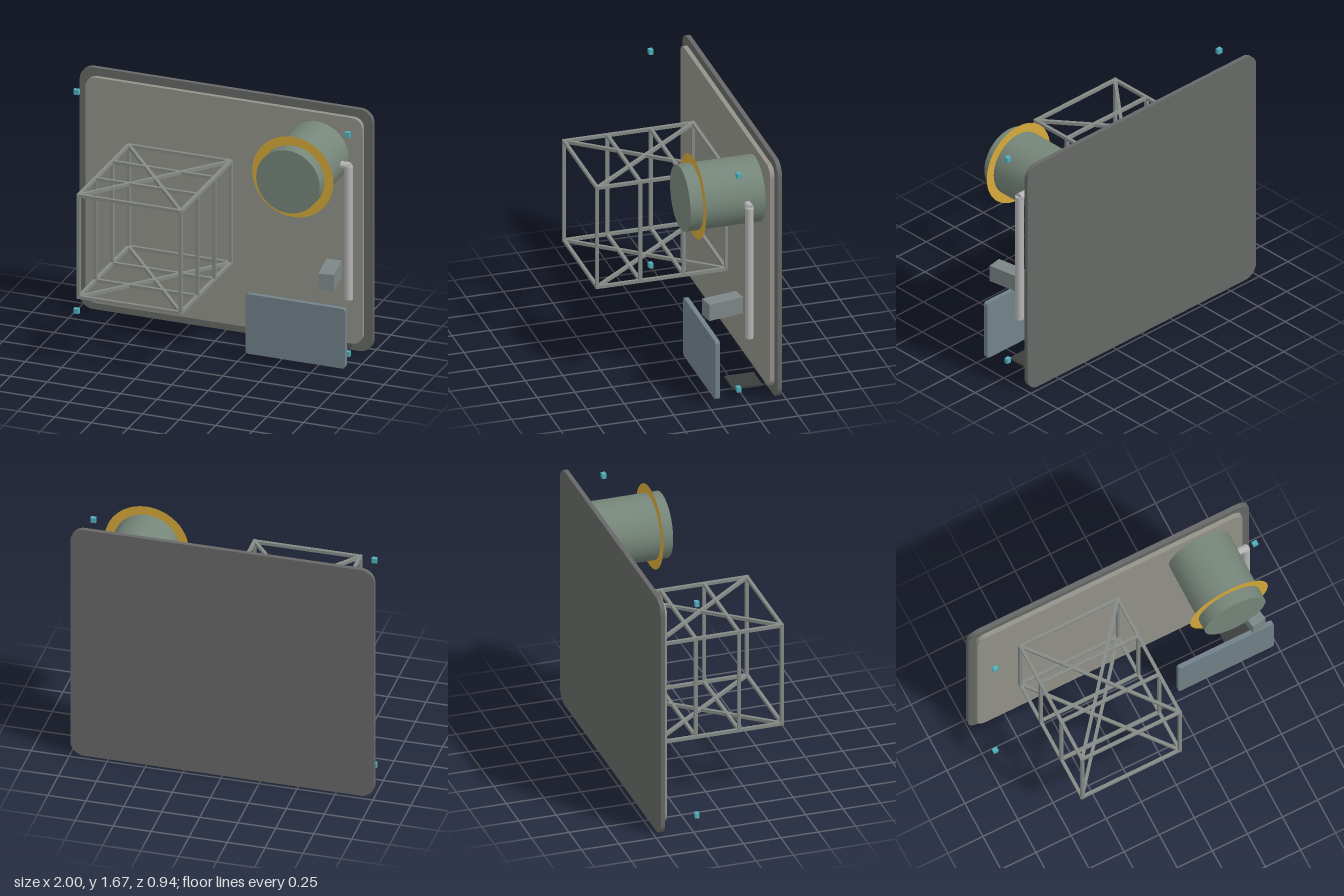
import * as THREE from 'three';

const mat = (color, side = THREE.FrontSide) => new THREE.MeshStandardMaterial({ color, side });

// Rounded rectangle slab, x0..x1, y0..y1, extruded along z0..z1
function slab(x0, x1, y0, y1, z0, z1, r) {
  const s = new THREE.Shape();
  s.moveTo(x0 + r, y0);
  s.lineTo(x1 - r, y0);
  s.absarc(x1 - r, y0 + r, r, -Math.PI / 2, 0);
  s.lineTo(x1, y1 - r);
  s.absarc(x1 - r, y1 - r, r, 0, Math.PI / 2);
  s.lineTo(x0 + r, y1);
  s.absarc(x0 + r, y1 - r, r, Math.PI / 2, Math.PI);
  s.lineTo(x0, y0 + r);
  s.absarc(x0 + r, y0 + r, r, Math.PI, Math.PI * 1.5);
  const g = new THREE.ExtrudeGeometry(s, { depth: z1 - z0, bevelEnabled: false, curveSegments: 8 });
  return g.translate(0, 0, z0);
}

export function createModel() {
  const model = new THREE.Group();
  model.name = 'wallAssembly';

  function add(name, geometry, material, parent = model) {
    const m = new THREE.Mesh(geometry, material);
    m.name = name;
    parent.add(m);
    return m;
  }

  // Wall plate with its raised front sheet
  add('backPlate', slab(-1, 1, 0, 1.67, -0.47, -0.44, 0.09), mat(0x666866));
  add('frontSheet', slab(-0.95, 0.94, 0.057, 1.615, -0.44, -0.41, 0.07), mat(0x93938a));

  // Open cage of square bars
  const cage = new THREE.Group();
  cage.name = 'cage';
  model.add(cage);
  const steel = mat(0x868b87);
  const t = 0.021;
  function bar(name, a, b) {
    const p = new THREE.Vector3(...a), q = new THREE.Vector3(...b);
    const m = add(name, new THREE.BoxGeometry(t, t, p.distanceTo(q) + t), steel, cage);
    m.position.copy(p).lerp(q, 0.5);
    m.lookAt(q);
  }
  const xs = [-0.65, 0.046], ys = [0.487, 1.188], zs = [-0.4, -0.118, 0.171, 0.458];
  for (const y of ys) {
    for (const x of xs) bar('sideRail', [x, y, zs[0]], [x, y, zs[3]]);
    for (const z of zs) bar('crossRail', [xs[0], y, z], [xs[1], y, z]);
    bar('diagonal', [xs[0], y, zs[0]], [xs[1], y, zs[3]]);
    bar('diagonal', [xs[1], y, zs[0]], [xs[0], y, zs[3]]);
  }
  for (const x of xs) for (const z of zs) {
    const post = add('post', new THREE.BoxGeometry(t, ys[1] - ys[0], t), steel, cage);
    post.position.set(x, (ys[0] + ys[1]) / 2, z);
  }

  // Drum sticking out of the plate, with a thin flat collar
  const drum = add('drum', new THREE.CylinderGeometry(0.216, 0.216, 0.5, 48).rotateX(Math.PI / 2), mat(0x76867a));
  drum.position.set(0.63, 1.338, -0.16);
  const collar = add('collar', new THREE.RingGeometry(0.216, 0.277, 48), mat(0xd6aa3a, THREE.DoubleSide));
  collar.position.set(0.63, 1.338, 0.004);

  // Pipe beside the drum and the stub joining the two
  const pipeMat = mat(0xb4b4b4);
  const pipe = add('pipe', new THREE.CylinderGeometry(0.028, 0.028, 0.92, 20), pipeMat);
  pipe.position.set(0.895, 0.88, -0.285);
  const stub = add('pipeStub', new THREE.CylinderGeometry(0.026, 0.026, 0.08, 12).rotateZ(Math.PI / 2), pipeMat);
  stub.position.set(0.865, 1.337, -0.288);

  // Small box turned slightly outwards
  const box = add('controlBox', new THREE.BoxGeometry(0.1, 0.115, 0.242), mat(0x7d8687));
  box.position.set(0.832, 0.637, -0.128);
  box.rotation.y = 0.17;

  // Low upright panel and the tray behind it
  add('lowerPanel', slab(0.292, 0.97, 0.048, 0.46, -0.067, -0.036, 0.02), mat(0x72828a));
  const tray = add('tray', new THREE.BoxGeometry(0.185, 0.012, 0.195), mat(0x3c3e3e));
  tray.position.set(0.792, 0.065, -0.278);

  // Corner markers
  const markerMat = mat(0x4fb0bc);
  for (const x of [-0.928, 0.922]) for (const y of [0.08, 1.593]) {
    const marker = add('cornerMarker', new THREE.BoxGeometry(0.034, 0.034, 0.027), markerMat);
    marker.position.set(x, y, -0.205);
  }
  return model;
}
